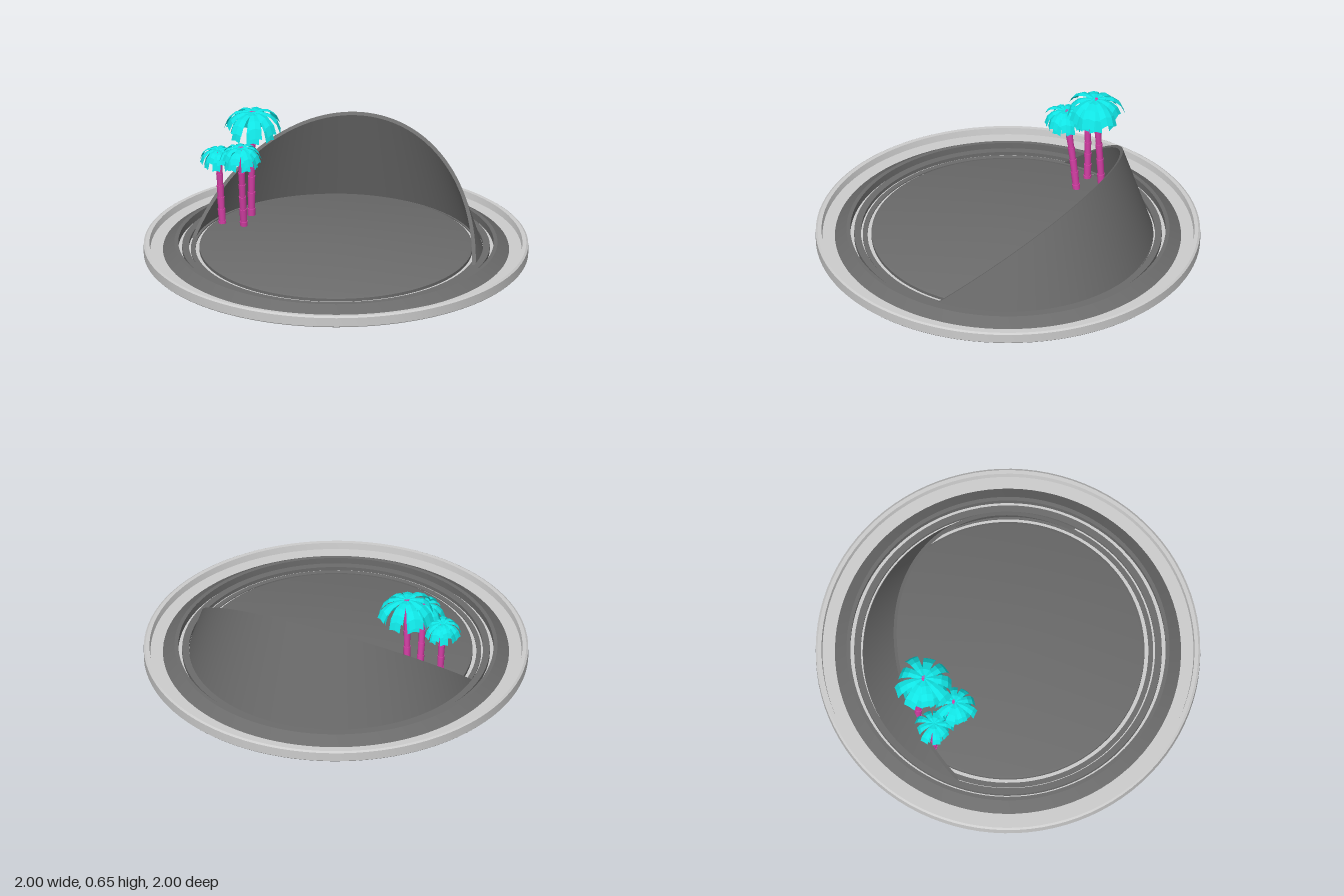
import * as THREE from 'three';
import { toCreasedNormals, mergeGeometries } from 'three/addons/utils/BufferGeometryUtils.js';

const mat = (color, opts = {}) => new THREE.MeshStandardMaterial({ color, ...opts });
const lightGrey = mat(0xcccccc);
const darkGrey = mat(0x6b6b6b);
const trunkMat = mat(0xd63fa6);
const leafMat = mat(0x10e5e5, { side: THREE.DoubleSide });

function mesh(name, geometry, material) {
  const m = new THREE.Mesh(geometry, material);
  m.name = name;
  return m;
}

// Revolved part; the profile runs from the bottom, round the outside, to the top
function turned(name, profile, material) {
  const pts = profile.map(([r, y]) => new THREE.Vector2(r, y));
  return mesh(name, toCreasedNormals(new THREE.LatheGeometry(pts, 96), 0.4), material);
}

// Triangles for a grid of points, rows[i][j]
function gridGeometry(rows) {
  const pos = [];
  for (let i = 0; i < rows.length - 1; i++) {
    for (let j = 0; j < rows[i].length - 1; j++) {
      const a = rows[i][j], b = rows[i + 1][j], c = rows[i + 1][j + 1], d = rows[i][j + 1];
      for (const p of [a, b, c, a, c, d]) pos.push(...p);
    }
  }
  const g = new THREE.BufferGeometry();
  g.setAttribute('position', new THREE.Float32BufferAttribute(pos, 3));
  g.computeVertexNormals();
  return g;
}

// Tapering wall cut by a plane that rises towards the back
function shellWall() {
  const rimY = 0.07, low = -0.04, slope = 0.845, taper = 0.33, over = 0.064, n = 80;
  const rows = [];
  for (let i = 0; i <= n; i++) {
    const t = -over + (Math.PI + 2 * over) * i / n;
    const s = Math.sin(t);
    const point = (r, h) => {
      const rr = r - taper * h;
      return [rr * Math.cos(t), rimY + h, -rr * s * 0.985];
    };
    const cut = (r) => Math.max(low, slope * s * r / (1 + slope * s * taper));
    const ro = 0.752, ri = 0.732;
    rows.push([point(ro, low), point(ro, cut(ro)), point(ri, cut(ri)), point(ri, low), point(ro, low)]);
  }
  return mesh('shellWall', toCreasedNormals(gridGeometry(rows), 0.5), darkGrey);
}

// Drooping frond that widens outwards, folded along its midrib
function frond(length, width, droop) {
  const rows = [];
  for (let i = 0; i <= 4; i++) {
    const u = i / 4;
    const w = width * (0.25 + 0.75 * Math.min(1, u * 1.5)) / 2;
    const x = length * Math.sin(u * 1.35) / Math.sin(1.35);
    const y = 0.012 * Math.sin(u * Math.PI) - droop * u * u;
    rows.push([[x, y - w * 0.3, w], [x, y, 0], [x, y - w * 0.3, -w]]);
  }
  return gridGeometry(rows);
}

// Palm: base and top points, crown radius, turn of the crown
function palm(name, base, top, crown, turn) {
  const group = new THREE.Group();
  group.name = name;
  const b = new THREE.Vector3(...base), e = new THREE.Vector3(...top);
  const mid = b.clone().lerp(e, 0.5).add(new THREE.Vector3(-0.006, 0, -0.006));
  const path = new THREE.QuadraticBezierCurve3(b, mid, e);

  // Trunk of slightly flared, stacked segments
  const parts = [];
  const count = 7, up = new THREE.Vector3(0, 1, 0);
  for (let i = 0; i < count; i++) {
    const p = path.getPoint(i / count), q = path.getPoint((i + 1) / count);
    const dir = q.clone().sub(p);
    const r = 0.021 - 0.005 * i / count;
    const g = new THREE.CylinderGeometry(r, r * 0.86, dir.length(), 10);
    g.applyQuaternion(new THREE.Quaternion().setFromUnitVectors(up, dir.clone().normalize()));
    const c = p.add(q).multiplyScalar(0.5);
    g.translate(c.x, c.y, c.z);
    parts.push(g);
  }
  group.add(mesh('trunk', mergeGeometries(parts), trunkMat));

  // Two tiers of fronds
  const leaves = [];
  for (let i = 0; i < 16; i++) {
    const lower = i >= 9;
    const a = lower ? (i - 9) / 7 * Math.PI * 2 + 0.3 : i / 9 * Math.PI * 2;
    const len = crown * (lower ? 0.75 : 0.94 + 0.08 * Math.sin(i * 2.3));
    const g = frond(len, crown * 0.42, crown * (lower ? 0.75 : 0.5 + 0.1 * Math.cos(i * 1.7)));
    g.rotateY(a + turn);
    g.translate(e.x, e.y - (lower ? 0.012 : 0), e.z);
    leaves.push(g);
  }
  group.add(mesh('fronds', mergeGeometries(leaves), leafMat));
  return group;
}

export function createModel() {
  const model = new THREE.Group();
  model.name = 'islandStage';

  // Round tray with a raised rim
  model.add(turned('baseTray', [[0, 0.005], [0.995, 0.005], [1, 0.01], [1, 0.058], [0.99, 0.065],
    [0.97, 0.065], [0.965, 0.03], [0, 0.03]], lightGrey));

  // Concentric rings and central floor standing in the tray
  model.add(turned('outerRing', [[0.9, 0.03], [0.84, 0.07], [0.82, 0.07], [0.82, 0.03]], darkGrey));
  model.add(turned('middleRing', [[0.8, 0.03], [0.8, 0.05], [0.765, 0.05], [0.765, 0.03]], darkGrey));
  model.add(turned('innerRing', [[0.755, 0.03], [0.755, 0.036], [0.73, 0.036], [0.73, 0.03]], darkGrey));
  model.add(turned('centreFloor', [[0.71, 0.03], [0.71, 0.046], [0.695, 0.052], [0, 0.052]], darkGrey));

  model.add(shellWall());

  // Group of three palms
  model.add(palm('tallPalm', [-0.53, 0, -0.285], [-0.515, 0.645, -0.25], 0.155, 0.2));
  model.add(palm('frontPalm', [-0.53, 0.005, -0.14], [-0.53, 0.515, -0.07], 0.115, 0.5));
  model.add(palm('sidePalm', [-0.645, 0, -0.14], [-0.665, 0.465, -0.13], 0.1, 0.9));
  return model;
}
